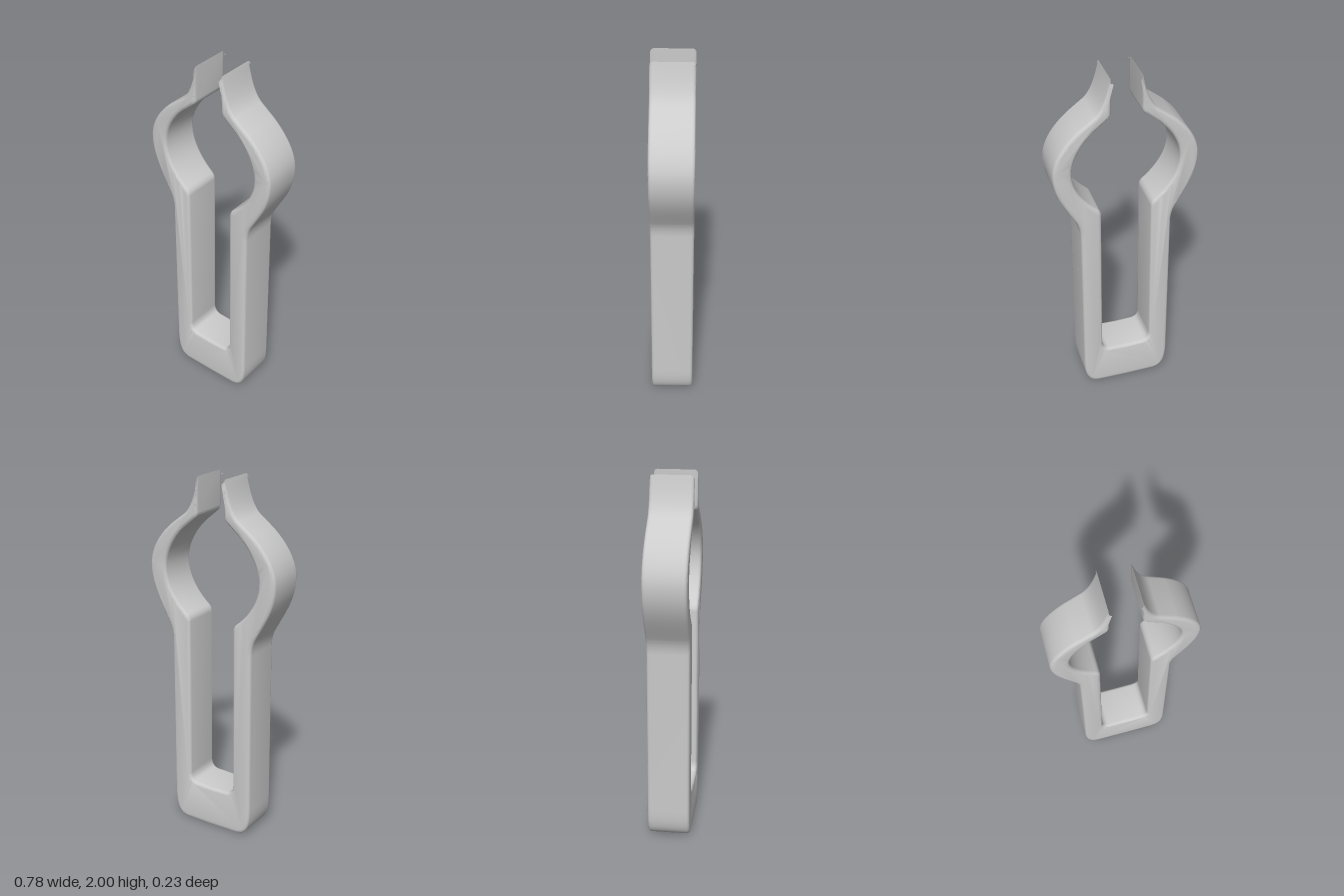
import * as THREE from 'three';
import { toCreasedNormals } from 'three/addons/utils/BufferGeometryUtils.js';

const DEPTH = 0.233, BEVEL = 0.018;

// Right half of the clip outline: up the outer edge, down the inner edge
function halfOutline() {
  const p = new THREE.Path();
  p.moveTo(0, 0);
  p.lineTo(0.16, 0.002);
  p.bezierCurveTo(0.22, 0.004, 0.25, 0.04, 0.25, 0.17);   // rounded foot
  p.lineTo(0.25, 1.08);
  p.quadraticCurveTo(0.25, 1.14, 0.275, 1.185);           // arm flares out
  p.bezierCurveTo(0.33, 1.285, 0.39, 1.37, 0.39, 1.49);   // outside of the jaw
  p.bezierCurveTo(0.39, 1.59, 0.32, 1.675, 0.25, 1.735);
  p.lineTo(0.165, 1.80);
  p.bezierCurveTo(0.12, 1.84, 0.10, 1.92, 0.082, 2.0);    // pointed tip
  p.lineTo(0.082, 1.815);
  p.quadraticCurveTo(0.082, 1.792, 0.10, 1.778);
  p.lineTo(0.17, 1.72);
  p.bezierCurveTo(0.235, 1.66, 0.29, 1.575, 0.29, 1.49);  // inside of the jaw
  p.bezierCurveTo(0.29, 1.39, 0.23, 1.31, 0.16, 1.25);
  p.quadraticCurveTo(0.137, 1.232, 0.137, 1.205);
  p.lineTo(0.141, 0.30);
  p.quadraticCurveTo(0.141, 0.247, 0.10, 0.242);          // slot floor
  p.lineTo(0, 0.238);
  return p.getPoints(12);
}

export function createModel() {
  const half = halfOutline();
  const mirrored = half.slice(1, -1).reverse().map((v) => new THREE.Vector2(-v.x, v.y));
  const shape = new THREE.Shape([...half, ...mirrored]);

  // One extruded body with softly rounded front and back edges
  const geometry = new THREE.ExtrudeGeometry(shape, {
    depth: DEPTH - 2 * BEVEL,
    bevelEnabled: true,
    bevelThickness: BEVEL,
    bevelSize: BEVEL,
    bevelOffset: -BEVEL,
    bevelSegments: 4,
  });
  geometry.translate(0, 0, -DEPTH / 2 + BEVEL);

  const clip = new THREE.Mesh(
    toCreasedNormals(geometry, 0.6),
    new THREE.MeshStandardMaterial({ color: 0xcccccc }),
  );
  clip.name = 'clipBody';

  const group = new THREE.Group();
  group.name = 'springClip';
  group.add(clip);
  return group;
}
